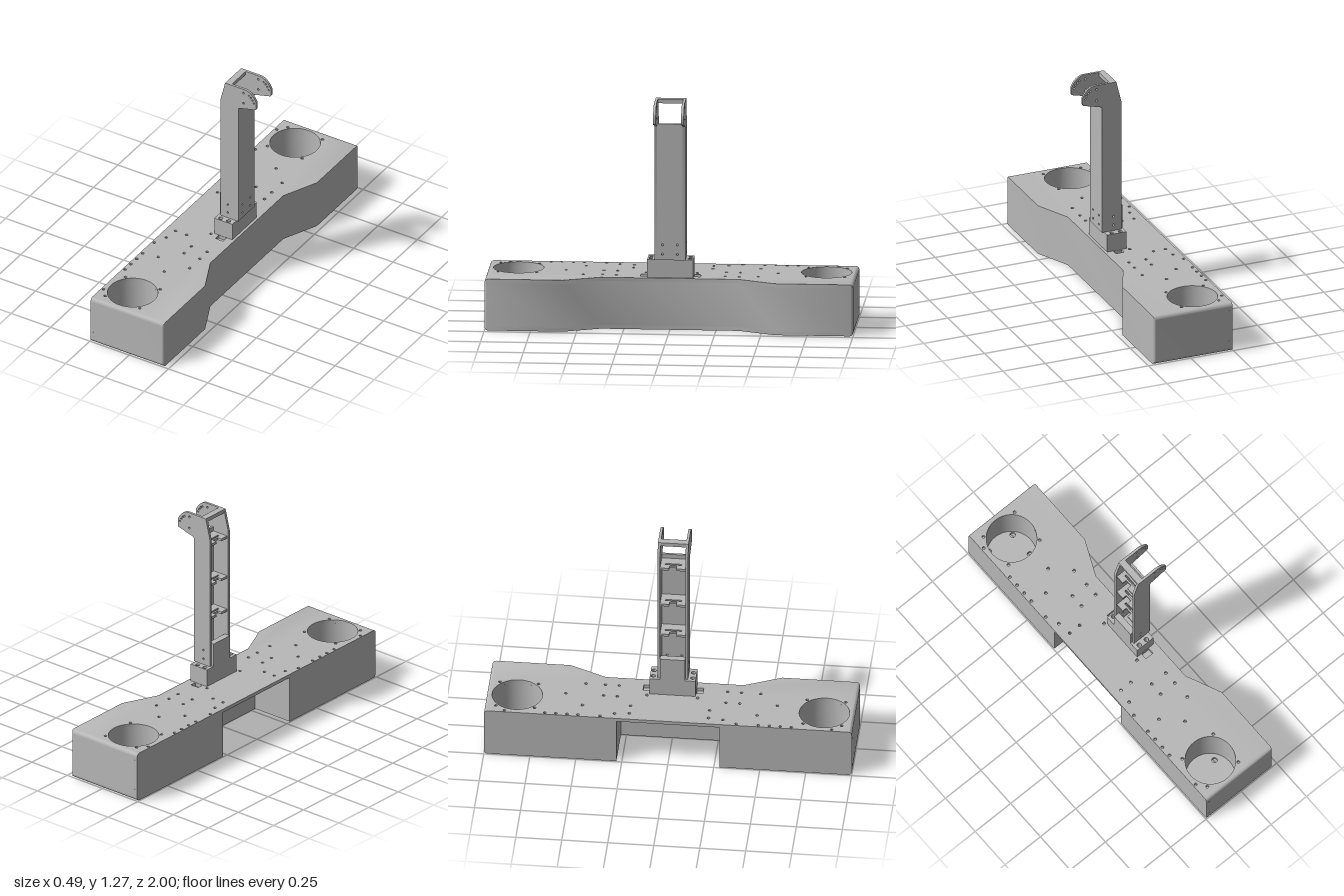
import * as THREE from 'three';
import { toCreasedNormals } from 'three/addons/utils/BufferGeometryUtils.js';

const H = 0.285, R = 0.02; // base height, end rounding radius and plate thickness
const WELLS = [[-0.08, 0.835], [-0.08, -0.835]];

export function createModel() {
  const model = new THREE.Group();
  const grey = new THREE.MeshStandardMaterial({ color: 0xb8b8b8 });
  grey.name = 'plain grey';

  const add = (name, geo, parent = model) => {
    const mesh = new THREE.Mesh(geo, grey);
    mesh.name = name;
    parent.add(mesh);
    return mesh;
  };
  const box = (name, x0, x1, y0, y1, z0, z1, parent) => {
    const g = new THREE.BoxGeometry(x1 - x0, y1 - y0, z1 - z0);
    g.translate((x0 + x1) / 2, (y0 + y1) / 2, (z0 + z1) / 2);
    return add(name, g, parent);
  };
  const punch = (shape, list, r) => list.forEach(([x, y]) =>
    shape.holes.push(new THREE.Path().absarc(x, y, r, 0, Math.PI * 2, true)));
  const slot = (shape, x0, x1, y0, y1) => shape.holes.push(new THREE.Path([
    [x0, y0], [x0, y1], [x1, y1], [x1, y0]].map(p => new THREE.Vector2(...p))));
  const extrude = (shape, depth, steps = 1, curveSegments = 12) =>
    new THREE.ExtrudeGeometry(shape, { depth, steps, curveSegments, bevelEnabled: false });
  const mirrorZ = pts => pts.flatMap(([x, z]) => [[x, z], [x, -z]]);

  // Plan of the base: waisted on +x, optionally recessed on -x
  const plan = notch => {
    const s = new THREE.Shape(), c = 0.015;
    s.moveTo(-0.245, -1);
    s.lineTo(0.22 - c, -1);
    s.quadraticCurveTo(0.22, -1, 0.22, -1 + c);
    [[0.22, -0.575], [0.13, -0.375], [0.13, 0.375], [0.22, 0.575], [0.22, 1 - c]].forEach(p => s.lineTo(...p));
    s.quadraticCurveTo(0.22, 1, 0.22 - c, 1);
    s.lineTo(-0.245, 1);
    if (notch) [[-0.245, 0.28], [0, 0.28], [0, -0.28], [-0.245, -0.28]].forEach(p => s.lineTo(...p));
    return s;
  };
  // Plate lying flat, with its two ends rounded over towards the outside (up = +1 or -1)
  const endRoundedPlate = (shape, up) => {
    const g = extrude(shape, R, 6, 20);
    g.rotateX(-Math.PI / 2);
    const p = g.attributes.position;
    for (let i = 0; i < p.count; i++) {
      const t = p.getY(i) / R;
      const a = (up > 0 ? t : 1 - t) * Math.PI / 2;
      const limit = 1 - R + R * Math.cos(a), z = p.getZ(i);
      p.setY(i, up > 0 ? R * Math.sin(a) : R - R * Math.sin(a));
      p.setZ(i, Math.sign(z) * Math.min(Math.abs(z), limit));
    }
    return toCreasedNormals(g, 0.5);
  };

  // Base: bottom plate, body with two round wells, and a lid bridging the recess
  const base = new THREE.Group();
  base.name = 'base';
  model.add(base);

  const bottom = plan(true);
  punch(bottom, mirrorZ([[0, 0.92], [-0.16, 0.93], [0, 0.775], [-0.05, 0.59], [-0.05, 0.39],
    [0.05, 0.11], [0.05, 0.06]]), 0.015);
  add('bottomPlate', endRoundedPlate(bottom, -1), base);

  const body = plan(true);
  punch(body, WELLS, 0.137);
  const bodyGeo = extrude(body, H - 2 * R, 1, 24);
  bodyGeo.rotateX(-Math.PI / 2);
  bodyGeo.translate(0, R, 0);
  add('baseBody', toCreasedNormals(bodyGeo, 0.5), base);

  const lid = plan(false);
  punch(lid, WELLS, 0.137);
  punch(lid, mirrorZ([[-0.19, 0.94], [0.03, 0.94], [-0.23, 0.89], [-0.19, 0.73], [0.03, 0.73],
    [-0.23, 0.67], [-0.23, 0.61], [-0.23, 0.55], [-0.23, 0.49], [-0.04, 0.575], [-0.14, 0.475],
    [0.06, 0.475], [-0.23, 0.37], [-0.04, 0.37], [0.06, 0.37], [-0.2, 0.295], [-0.04, 0.295],
    [0.06, 0.295], [-0.19, 0.215], [-0.12, 0.215]]), 0.008);
  for (const s of [-1, 1]) {
    slot(lid, 0.03, 0.08, s * 0.145 - 0.018, s * 0.145 + 0.018);
    slot(lid, -0.02, -0.005, s * 0.138 - 0.007, s * 0.138 + 0.007);
  }
  const lidMesh = add('lid', endRoundedPlate(lid, 1), base);
  lidMesh.position.y = H - R;

  // Screws on both end faces
  for (const z of [-1, 1]) for (const y of [0.06, 0.235]) {
    const g = new THREE.CylinderGeometry(0.008, 0.008, 0.004, 12);
    g.rotateX(Math.PI / 2);
    add('endScrew', g, base).position.set(-0.23, y, z * 0.999);
  }

  // Mounting foot with four counterbored holes and an upright tongue
  const foot = new THREE.Shape([[0, -0.125], [0.115, -0.125], [0.115, 0.125], [0, 0.125]]
    .map(p => new THREE.Vector2(...p)));
  punch(foot, mirrorZ([[0.03, 0.107], [0.08, 0.107]]), 0.012);
  const footGeo = extrude(foot, 0.1);
  footGeo.rotateX(-Math.PI / 2);
  add('mountingFoot', toCreasedNormals(footGeo, 0.5)).position.y = H;
  box('footTongue', 0, 0.035, 0.385, 0.52, -0.068, 0.068);

  // Column: two cheeks with hooked heads
  const column = new THREE.Group();
  column.name = 'column';
  model.add(column);
  const cheek = new THREE.Shape();
  cheek.moveTo(0.013, 0.385);
  cheek.lineTo(0.127, 0.385);
  cheek.lineTo(0.127, 1.12);
  cheek.quadraticCurveTo(0.127, 1.13, 0.137, 1.133);
  cheek.lineTo(0.235, 1.158);
  cheek.quadraticCurveTo(0.241, 1.16, 0.241, 1.168);
  cheek.lineTo(0.241, 1.205);
  cheek.bezierCurveTo(0.225, 1.24, 0.2, 1.266, 0.165, 1.266);
  cheek.lineTo(0.043, 1.266);
  cheek.lineTo(0.013, 1.145);
  punch(cheek, [[0.06, 0.47], [0.06, 0.418], [0.16, 1.242], [0.16, 1.175]], 0.006);
  punch(cheek, [[0.195, 1.236], [0.207, 1.226], [0.217, 1.213], [0.226, 1.196]], 0.005);
  const cheekGeo = toCreasedNormals(extrude(cheek, 0.014), 0.5);
  add('leftCheek', cheekGeo, column).position.z = 0.069;
  add('rightCheek', cheekGeo, column).position.z = -0.083;

  // Web closing the +x side
  const web = new THREE.Shape([[-0.07, 0.385], [0.07, 0.385], [0.07, 1.14], [-0.07, 1.14]]
    .map(p => new THREE.Vector2(...p)));
  punch(web, [[-0.04, 0.47], [0.04, 0.47], [-0.04, 0.418], [0.04, 0.418]], 0.006);
  const webGeo = extrude(web, 0.012);
  webGeo.rotateY(Math.PI / 2);
  add('columnWeb', toCreasedNormals(webGeo, 0.5), column).position.x = 0.115;
  box('topBridge', 0.043, 0.08, 1.244, 1.266, -0.07, 0.07, column);

  // Cross shelves inside the channel, each with a cable notch
  const shelf = new THREE.Shape([[0.02, -0.07], [0.116, -0.07], [0.116, 0.07], [0.02, 0.07],
    [0.02, 0.02], [0.045, 0.02], [0.045, -0.02], [0.02, -0.02]].map(p => new THREE.Vector2(...p)));
  slot(shelf, 0.055, 0.065, -0.045, 0.045);
  const shelfGeo = extrude(shelf, 0.014);
  shelfGeo.rotateX(-Math.PI / 2);
  for (const y of [0.66, 0.86, 1.1]) add('crossShelf', shelfGeo, column).position.y = y;

  return model;
}
